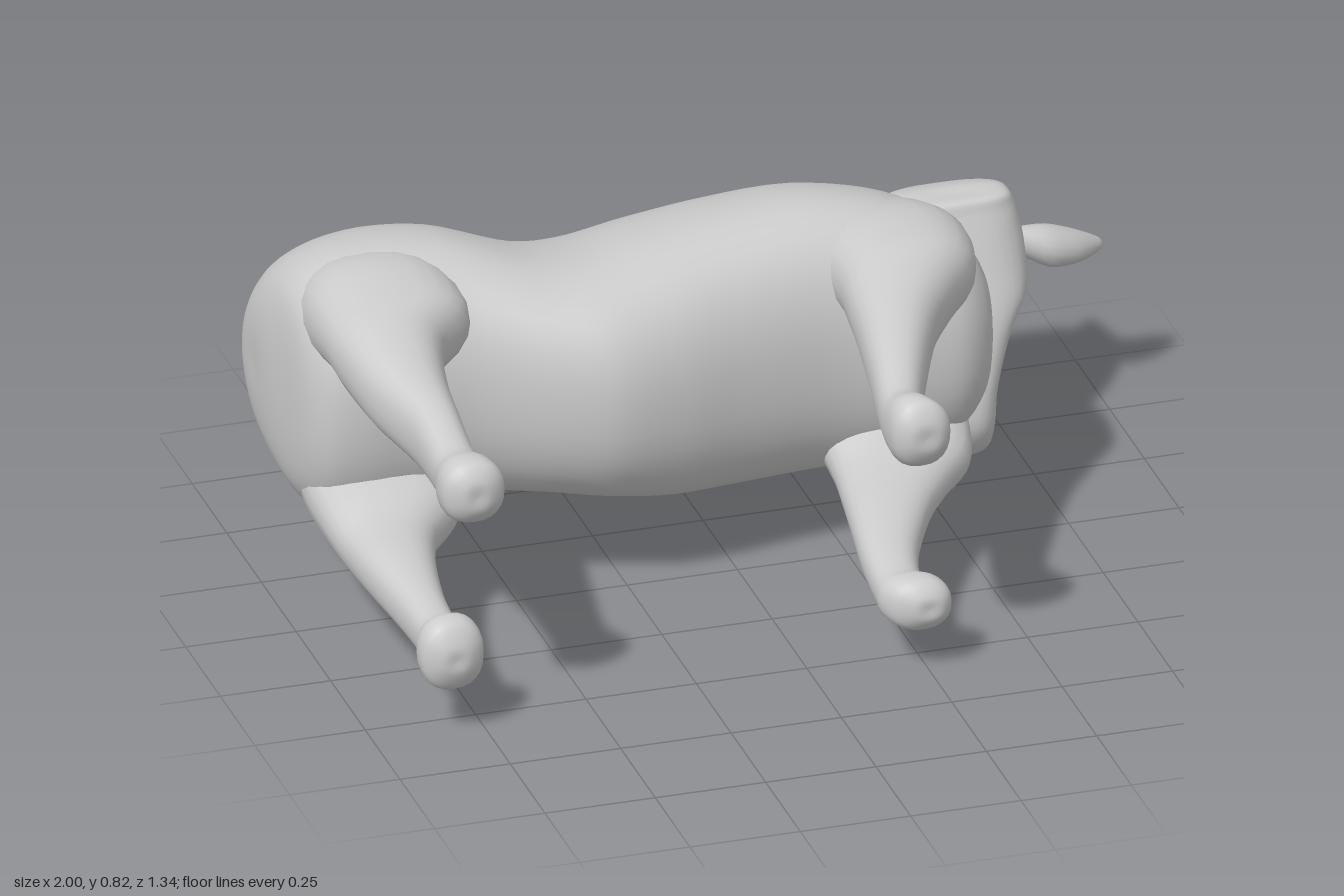
import * as THREE from 'three';

const material = new THREE.MeshStandardMaterial({ color: 0xcccccc });

// Smooth closed loft along an axis. Each section is [t, a0, a1, b0, b1]: the position
// along the axis (ascending) and the extents on the next two axes in cyclic x-y-z order.
// power squares the section off; skew [start, end] makes it egg-shaped, wider towards b1.
function loft(name, axis, sections, { power = 2, skew = [0, 0], rings = 40, sides = 32 } = {}) {
  const point = ([t, a0, a1, b0, b1]) => {
    const a = (a0 + a1) / 2, b = (b0 + b1) / 2;
    return [t, a, a, b, b];
  };
  const all = [point(sections[0]), ...sections, point(sections[sections.length - 1])];
  const curve = k => new THREE.CatmullRomCurve3(
    all.map(s => new THREE.Vector3(s[0], s[k], s[k + 1])), false, 'catmullrom', 0.45);
  const curveA = curve(1), curveB = curve(3);
  const positions = [], index = [];
  const bend = v => Math.sign(v) * Math.pow(Math.abs(v), 2 / power);
  for (let i = 0; i <= rings; i++) {
    const p = curveA.getPoint(i / rings), q = curveB.getPoint(i / rings);
    const egg = THREE.MathUtils.lerp(skew[0], skew[1], i / rings);
    for (let j = 0; j < sides; j++) {
      const angle = j / sides * Math.PI * 2;
      const up = bend(Math.sin(angle));
      const out = bend(Math.cos(angle)) * (1 + egg * up);
      const v = [0, 0, 0];
      v[axis] = p.x;
      v[(axis + 1) % 3] = (p.y + p.z) / 2 + (p.z - p.y) / 2 * out;
      v[(axis + 2) % 3] = (q.y + q.z) / 2 + (q.z - q.y) / 2 * up;
      positions.push(...v);
      if (i < rings) {
        const k = (j + 1) % sides, r = i * sides, s = r + sides;
        index.push(r + j, r + k, s + k, r + j, s + k, s + j);
      }
    }
  }
  const geometry = new THREE.BufferGeometry();
  geometry.setAttribute('position', new THREE.Float32BufferAttribute(positions, 3));
  geometry.setIndex(index);
  geometry.computeVertexNormals();
  const mesh = new THREE.Mesh(geometry, material);
  mesh.name = name;
  return mesh;
}

export function createModel() {
  const model = new THREE.Group();
  model.name = 'cowLyingOnItsSide';
  const X = 0, Y = 1, Z = 2;

  // Torso from rump to chest: x, y range, z range
  model.add(loft('torso', X, [
    [-1.0, 0.43, 0.58, -0.38, -0.24],
    [-0.99, 0.35, 0.65, -0.42, -0.16],
    [-0.965, 0.28, 0.72, -0.455, -0.04],
    [-0.92, 0.225, 0.765, -0.495, 0.02],
    [-0.84, 0.195, 0.795, -0.525, 0.04],
    [-0.73, 0.195, 0.805, -0.535, 0.04],
    [-0.6, 0.23, 0.795, -0.515, 0.05],
    [-0.43, 0.23, 0.75, -0.475, 0.11],
    [-0.3, 0.21, 0.74, -0.495, 0.14],
    [-0.15, 0.18, 0.755, -0.525, 0.12],
    [0.0, 0.17, 0.77, -0.53, 0.085],
    [0.2, 0.17, 0.78, -0.52, 0.055],
    [0.38, 0.18, 0.755, -0.48, 0.06],
    [0.5, 0.225, 0.7, -0.43, 0.06],
    [0.57, 0.30, 0.62, -0.34, 0.01],
    [0.6, 0.40, 0.54, -0.22, -0.08],
  ], { power: 2.2, skew: [0.14, 0.25], rings: 76, sides: 48 }));

  // Legs from shoulder or hip to hoof: z, x range, y range
  const legs = {
    hindLegUpper: [
      [-0.4, -0.87, -0.72, 0.56, 0.66],
      [-0.25, -0.93, -0.65, 0.56, 0.77],
      [-0.12, -0.955, -0.61, 0.57, 0.815],
      [0.03, -0.95, -0.615, 0.6, 0.803],
      [0.12, -0.94, -0.70, 0.59, 0.785],
      [0.25, -0.915, -0.735, 0.57, 0.75],
      [0.4, -0.87, -0.75, 0.555, 0.715],
      [0.54, -0.86, -0.755, 0.55, 0.675],
      [0.6, -0.87, -0.735, 0.535, 0.685],
      [0.645, -0.865, -0.73, 0.54, 0.68],
      [0.67, -0.83, -0.765, 0.575, 0.645],
    ],
    hindLegLower: [
      [-0.4, -0.87, -0.72, 0.34, 0.44],
      [-0.25, -0.93, -0.65, 0.225, 0.42],
      [-0.1, -0.955, -0.62, 0.19, 0.38],
      [0.04, -0.95, -0.64, 0.18, 0.345],
      [0.13, -0.935, -0.72, 0.17, 0.31],
      [0.25, -0.92, -0.76, 0.165, 0.295],
      [0.4, -0.895, -0.785, 0.155, 0.27],
      [0.51, -0.885, -0.785, 0.145, 0.255],
      [0.55, -0.9, -0.76, 0.12, 0.28],
      [0.59, -0.895, -0.76, 0.115, 0.27],
      [0.615, -0.86, -0.795, 0.16, 0.225],
    ],
    foreLegUpper: [
      [-0.4, 0.28, 0.4, 0.54, 0.62],
      [-0.25, 0.23, 0.49, 0.54, 0.725],
      [-0.1, 0.2, 0.545, 0.54, 0.775],
      [0.05, 0.21, 0.525, 0.565, 0.775],
      [0.14, 0.205, 0.455, 0.565, 0.755],
      [0.25, 0.195, 0.375, 0.555, 0.73],
      [0.4, 0.175, 0.305, 0.54, 0.695],
      [0.53, 0.155, 0.255, 0.53, 0.66],
      [0.6, 0.15, 0.26, 0.515, 0.68],
      [0.645, 0.155, 0.28, 0.525, 0.675],
      [0.67, 0.185, 0.255, 0.565, 0.635],
    ],
    foreLegLower: [
      [-0.4, 0.28, 0.4, 0.34, 0.44],
      [-0.25, 0.23, 0.49, 0.22, 0.42],
      [-0.1, 0.2, 0.54, 0.165, 0.37],
      [0.05, 0.2, 0.515, 0.15, 0.3],
      [0.14, 0.19, 0.44, 0.15, 0.275],
      [0.25, 0.175, 0.36, 0.145, 0.26],
      [0.4, 0.155, 0.285, 0.13, 0.235],
      [0.51, 0.15, 0.26, 0.115, 0.215],
      [0.55, 0.15, 0.295, 0.1, 0.22],
      [0.59, 0.17, 0.3, 0.1, 0.215],
      [0.615, 0.21, 0.275, 0.13, 0.185],
    ],
  };
  for (const [name, sections] of Object.entries(legs)) {
    model.add(loft(name, Z, sections, { power: 2.35, rings: 48, sides: 24 }));
  }

  // Short neck joining the chest to the back of the head
  model.add(loft('neck', X, [
    [0.4, 0.38, 0.56, -0.42, -0.2],
    [0.5, 0.4, 0.54, -0.44, -0.3],
    [0.56, 0.42, 0.53, -0.46, -0.36],
    [0.62, 0.43, 0.52, -0.48, -0.4],
  ]));

  // Head from muzzle to poll: y, z range, x range
  const head = new THREE.Group();
  head.name = 'head';
  head.add(loft('skull', Y, [
    [0.0, -0.41, -0.385, 0.58, 0.63],
    [0.02, -0.43, -0.335, 0.535, 0.66],
    [0.06, -0.435, -0.275, 0.5, 0.675],
    [0.12, -0.44, -0.245, 0.495, 0.68],
    [0.2, -0.465, -0.255, 0.525, 0.69],
    [0.3, -0.52, -0.285, 0.51, 0.73],
    [0.38, -0.565, -0.315, 0.46, 0.78],
    [0.45, -0.62, -0.345, 0.45, 0.79],
    [0.51, -0.625, -0.37, 0.455, 0.785],
    [0.565, -0.575, -0.395, 0.485, 0.77],
    [0.595, -0.5, -0.41, 0.53, 0.74],
  ], { power: 3, rings: 52 }));

  // Ears and horns, mirrored across the middle of the head
  const middle = 1.24;
  const ear = [
    [0.74, 0.41, 0.46, -0.55, -0.51],
    [0.8, 0.39, 0.455, -0.555, -0.503],
    [0.87, 0.35, 0.445, -0.585, -0.487],
    [0.94, 0.343, 0.415, -0.592, -0.51],
    [1.0, 0.352, 0.378, -0.588, -0.56],
  ];
  const horn = [
    [-0.67, 0.795, 0.814, 0.43, 0.452],
    [-0.64, 0.765, 0.81, 0.43, 0.485],
    [-0.6, 0.715, 0.802, 0.43, 0.52],
    [-0.53, 0.66, 0.79, 0.43, 0.55],
  ];
  const options = { rings: 20, sides: 16 };
  head.add(loft('leftEar', X, ear, options));
  head.add(loft('rightEar', X, ear.map(([x, ...rest]) => [middle - x, ...rest]).reverse(), options));
  head.add(loft('leftHorn', Z, horn, options));
  head.add(loft('rightHorn', Z, horn.map(([z, x0, x1, ...y]) => [z, middle - x1, middle - x0, ...y]), options));
  model.add(head);

  return model;
}
